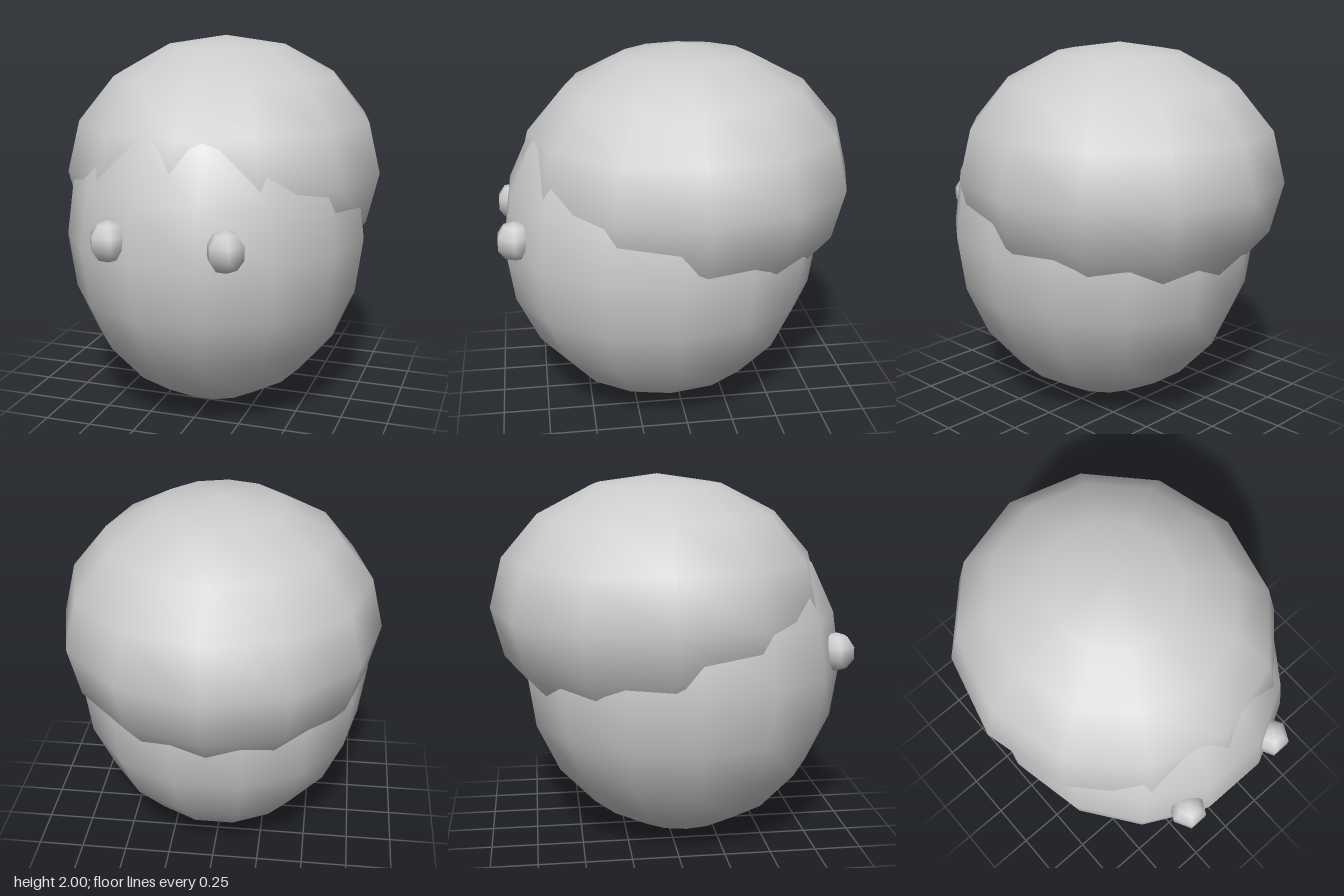
import * as THREE from 'three';

const grey = new THREE.MeshStandardMaterial({ color: 0xcccccc });
grey.name = 'plain grey';

// Smooth-shaded low-poly ellipsoid
function ellipsoid(name, radii, centre, around, rows) {
  const geometry = new THREE.SphereGeometry(1, around, rows);
  geometry.scale(...radii);
  const mesh = new THREE.Mesh(geometry, grey);
  mesh.name = name;
  mesh.position.set(...centre);
  return mesh;
}

export function createModel() {
  const model = new THREE.Group();
  model.name = 'characterHead';

  // Egg-shaped head
  model.add(ellipsoid('head', [0.81, 0.957, 0.88], [0, 0.96, 0.08], 14, 10));

  // Wide cap of hair, sunk into the head and set back
  model.add(ellipsoid('hair', [0.86, 0.71, 0.913], [0, 1.29, -0.055], 12, 8));

  // Bead eyes
  for (const side of [1, -1]) {
    const name = side > 0 ? 'leftEye' : 'rightEye';
    model.add(ellipsoid(name, [0.1, 0.107, 0.107], [side * 0.3, 1.06, 0.88], 6, 5));
  }

  return model;
}
